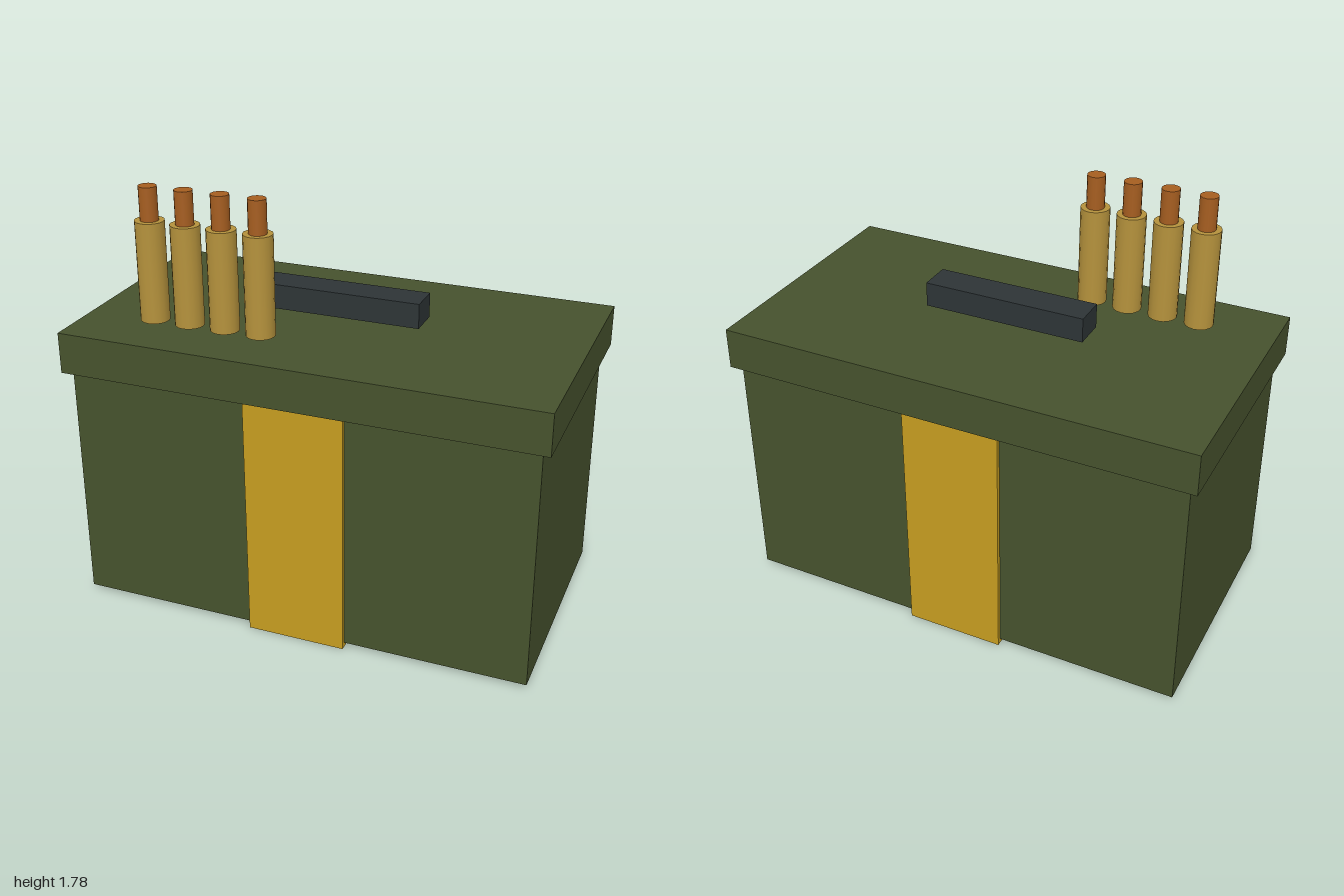
import * as THREE from 'three';

const material = (name, color) => {
  const m = new THREE.MeshStandardMaterial({ color });
  m.name = name;
  return m;
};

export function createModel() {
  const green = material('olive green', 0x46522d);
  const yellow = material('band yellow', 0xc69d20);
  const brass = material('brass', 0xb5923c);
  const copper = material('copper', 0xa65e20);
  const dark = material('dark grey', 0x2d3436);

  const model = new THREE.Group();
  model.name = 'ammunitionBox';

  const add = (name, geometry, mat, x, y, z, parent = model) => {
    const mesh = new THREE.Mesh(geometry, mat);
    mesh.name = name;
    mesh.position.set(x, y, z);
    parent.add(mesh);
  };
  // Box centred on x and z, spanning y0 to y1
  const addBox = (name, mat, w, y0, y1, d) =>
    add(name, new THREE.BoxGeometry(w, y1 - y0, d), mat, 0, (y0 + y1) / 2, 0);

  // Case, lid, band wrapped round the case, and carrying handle
  addBox('body', green, 1.93, 0.02, 1.05, 1.034);
  addBox('lid', green, 2, 1.038, 1.21, 1.1);
  addBox('band', yellow, 0.414, 0, 1.05, 1.07);
  addBox('handle', dark, 0.69, 1.245, 1.348, 0.138);

  // Row of cartridges standing over the lid
  const casing = new THREE.CylinderGeometry(0.06, 0.06, 0.414, 16);
  const bullet = new THREE.CylinderGeometry(0.037, 0.037, 0.14, 16);
  for (let i = 0; i < 4; i++) {
    const cartridge = new THREE.Group();
    cartridge.name = 'cartridge' + (i + 1);
    cartridge.position.set(-0.69 + i * 0.155, 1.228, 0.31);
    add('casing', casing, brass, 0, 0.207, 0, cartridge);
    add('bullet', bullet, copper, 0, 0.482, 0, cartridge);
    model.add(cartridge);
  }
  return model;
}
